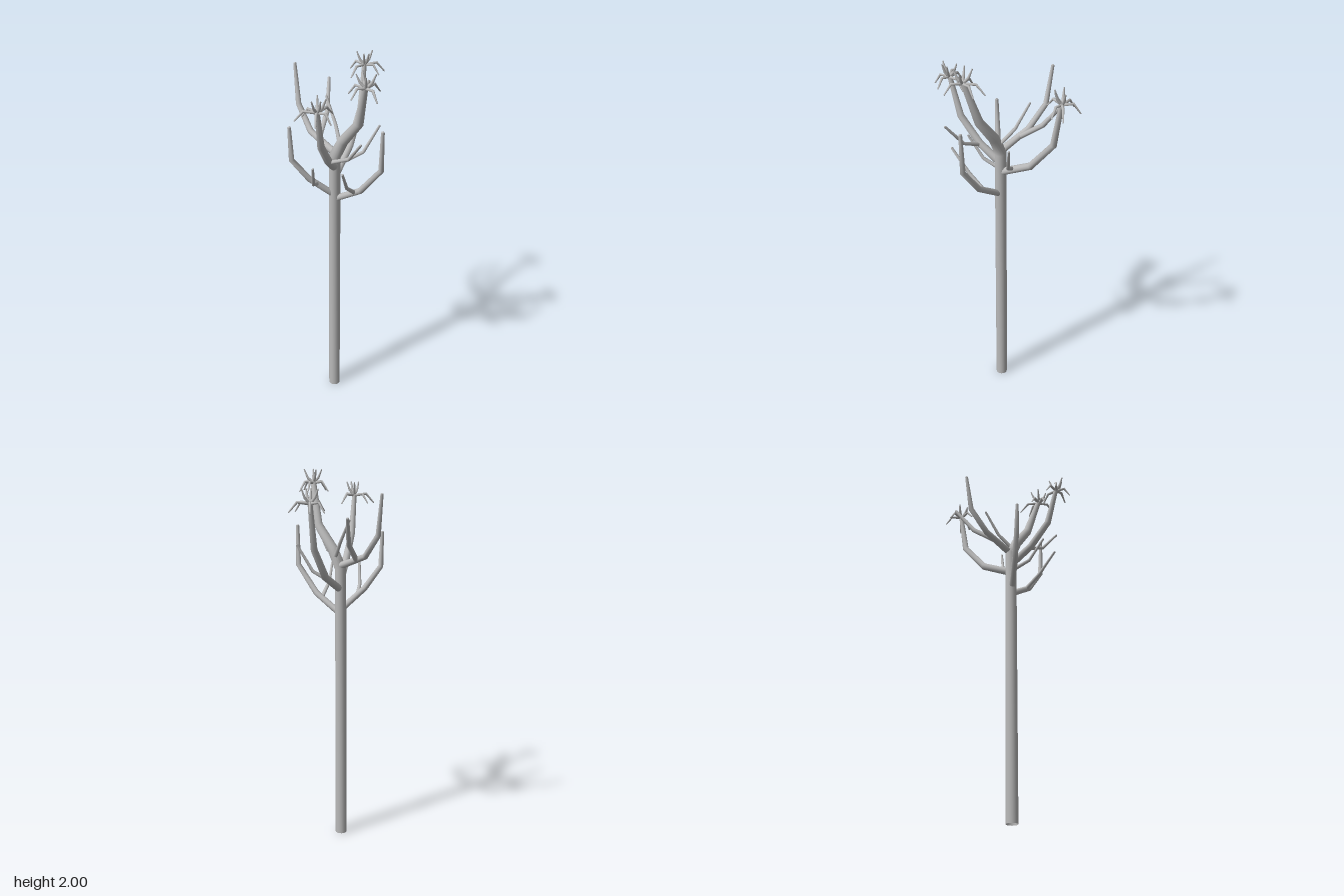
import * as THREE from 'three';

const V = (p) => new THREE.Vector3(...p);

// Tapered limb with mitred rings along a bent path and a rounded tip; r holds one radius per point
function limbGeometry(path, r, sides) {
  const pts = path.map(V);
  const radii = [...r];
  const pos = [], idx = [];

  // the tip is pulled back a little and closed with a small dome
  const tip = pts[pts.length - 1];
  const dir = tip.clone().sub(pts[pts.length - 2]).normalize();
  const tipR = r[r.length - 1];
  pts[pts.length - 1] = tip.clone().addScaledVector(dir, -tipR * 0.7);
  pts.push(tip.clone().addScaledVector(dir, -tipR * 0.2), tip);
  radii.push(tipR * 0.7, 0.0005);

  const last = pts.length - 1;
  const side = V(Math.abs(dir.y) > 0.9 || pts[1].y - pts[0].y > 1 ? [1, 0, 0] : [0, 1, 0]);
  pts.forEach((p, i) => {
    const before = p.clone().sub(pts[Math.max(i - 1, 0)]).normalize();
    const after = pts[Math.min(i + 1, last)].clone().sub(p).normalize();
    const t = before.add(after).normalize();
    side.addScaledVector(t, -side.dot(t)).normalize();
    const up = t.clone().cross(side);
    for (let j = 0; j < sides; j++) {
      const a = (j / sides) * Math.PI * 2;
      const q = p.clone().addScaledVector(side, Math.cos(a) * radii[i]).addScaledVector(up, Math.sin(a) * radii[i]);
      pos.push(q.x, q.y, q.z);
    }
  });
  for (let i = 0; i < last; i++) {
    for (let j = 0; j < sides; j++) {
      const a = i * sides + j, b = i * sides + (j + 1) % sides;
      idx.push(a, b, a + sides, b, b + sides, a + sides);
    }
  }
  const g = new THREE.BufferGeometry();
  g.setAttribute('position', new THREE.Float32BufferAttribute(pos, 3));
  g.setIndex(idx);
  g.computeVertexNormals();
  return g;
}

export function createModel() {
  const model = new THREE.Group();
  model.name = 'branchingTree';
  // double sided because the limbs are open at their lower ends
  const bark = new THREE.MeshStandardMaterial({ color: 0xbababa, side: THREE.DoubleSide });
  bark.name = 'grey';

  const limb = (name, path, r, sides = 10, parent = model) => {
    const mesh = new THREE.Mesh(limbGeometry(path, r, sides), bark);
    mesh.name = name;
    parent.add(mesh);
  };

  // trunk, bending into the highest limb
  limb('trunk',
    [[-0.011, 0, 0.037], [-0.007, 1.5, 0.035], [0.04, 1.6, 0.05], [0.128, 1.72, 0.085], [0.172, 1.945, 0.145]],
    [0.031, 0.03, 0.028, 0.023, 0.014], 16);

  // main limbs
  const limbs = {
    backLimb: [[[-0.005, 1.39, 0.036], [0.024, 1.48, -0.14], [0.045, 1.635, -0.265], [0.053, 1.875, -0.304]], [0.02, 0.019, 0.017, 0.012]],
    frontLimb: [[[-0.008, 1.44, 0.036], [-0.005, 1.53, 0.15], [-0.01, 1.66, 0.255], [-0.01, 1.87, 0.31]], [0.021, 0.02, 0.018, 0.012]],
    rightUpperLimb: [[[-0.005, 1.515, 0.03], [-0.158, 1.58, -0.05], [-0.238, 1.695, -0.11], [-0.26, 1.903, -0.133]], [0.019, 0.016, 0.014, 0.008]],
    rightLowerLimb: [[[-0.01, 1.285, 0.04], [-0.12, 1.39, 0.1], [-0.198, 1.505, 0.139], [-0.203, 1.69, 0.146]], [0.017, 0.016, 0.014, 0.009]],
    leftLowerLimb: [[[-0.005, 1.26, 0.036], [0.14, 1.355, 0.087], [0.25, 1.5, 0.118], [0.254, 1.713, 0.123]], [0.017, 0.016, 0.014, 0.009]],
  };
  for (const [name, [path, r]] of Object.entries(limbs)) limb(name, path, r);

  // side twigs growing from the limbs
  const twigs = [
    [[-0.107, 1.555, -0.025], [-0.1, 1.65, -0.152], [-0.121, 1.793, -0.26]],
    [[-0.086, 1.36, 0.085], [-0.078, 1.4, 0.166], [-0.056, 1.532, 0.243]],
    [[0.107, 1.34, 0.085], [0.092, 1.405, 0.166], [0.095, 1.532, 0.259]],
    [[0.012, 1.435, -0.035], [0.115, 1.495, -0.06], [0.189, 1.637, -0.098]],
    [[0, 1.525, 0.148], [0.105, 1.575, 0.183], [0.181, 1.692, 0.245]],
    [[0.02, 1.56, 0.03], [-0.022, 1.64, -0.035], [-0.087, 1.767, -0.089]],
  ];
  twigs.forEach((path, i) => limb(`twig${i + 1}`, path, i === 0 ? [0.014, 0.013, 0.008] : [0.011, 0.009, 0.006], 8));

  // leaf crowns: long arching leaves and short upright ones, as [dx, dz] reaches
  const crowns = {
    topCrown: [[0.173, 1.943, 0.145],
      [[-0.006, -0.115], [0.05, -0.08], [0.07, 0.062], [-0.055, 0.055], [-0.087, -0.015]],
      [[0.046, -0.01], [0.01, 0.04], [-0.045, 0.01], [-0.028, -0.04]]],
    backCrown: [[0.053, 1.873, -0.304],
      [[-0.027, -0.084], [0.094, -0.043], [0.081, 0.02], [-0.046, 0.092], [-0.083, -0.031]],
      [[0.033, -0.027], [0.028, 0.028], [-0.04, 0.008], [0.005, 0.038]]],
    frontCrown: [[-0.009, 1.872, 0.31],
      [[0.046, -0.097], [0.074, 0.027], [0.014, 0.074], [-0.102, 0.029], [-0.083, -0.031]],
      [[0.04, -0.01], [-0.014, 0.04], [-0.01, -0.038], [0.025, 0.025]]],
  };
  for (const [name, [[x, y, z], long, short]] of Object.entries(crowns)) {
    const crown = new THREE.Group();
    crown.name = name;
    crown.position.set(x, y, z);
    model.add(crown);
    for (const [dx, dz] of long) {
      limb('archingLeaf',
        [[0, -0.014, 0], [dx * 0.6, -0.006, dz * 0.6], [dx, -0.055, dz]],
        [0.008, 0.007, 0.0035], 6, crown);
    }
    for (const [dx, dz] of short) {
      limb('uprightLeaf',
        [[0, -0.014, 0], [dx * 0.6, 0.014, dz * 0.6], [dx, 0.057, dz]],
        [0.008, 0.007, 0.0035], 6, crown);
    }
  }
  return model;
}
